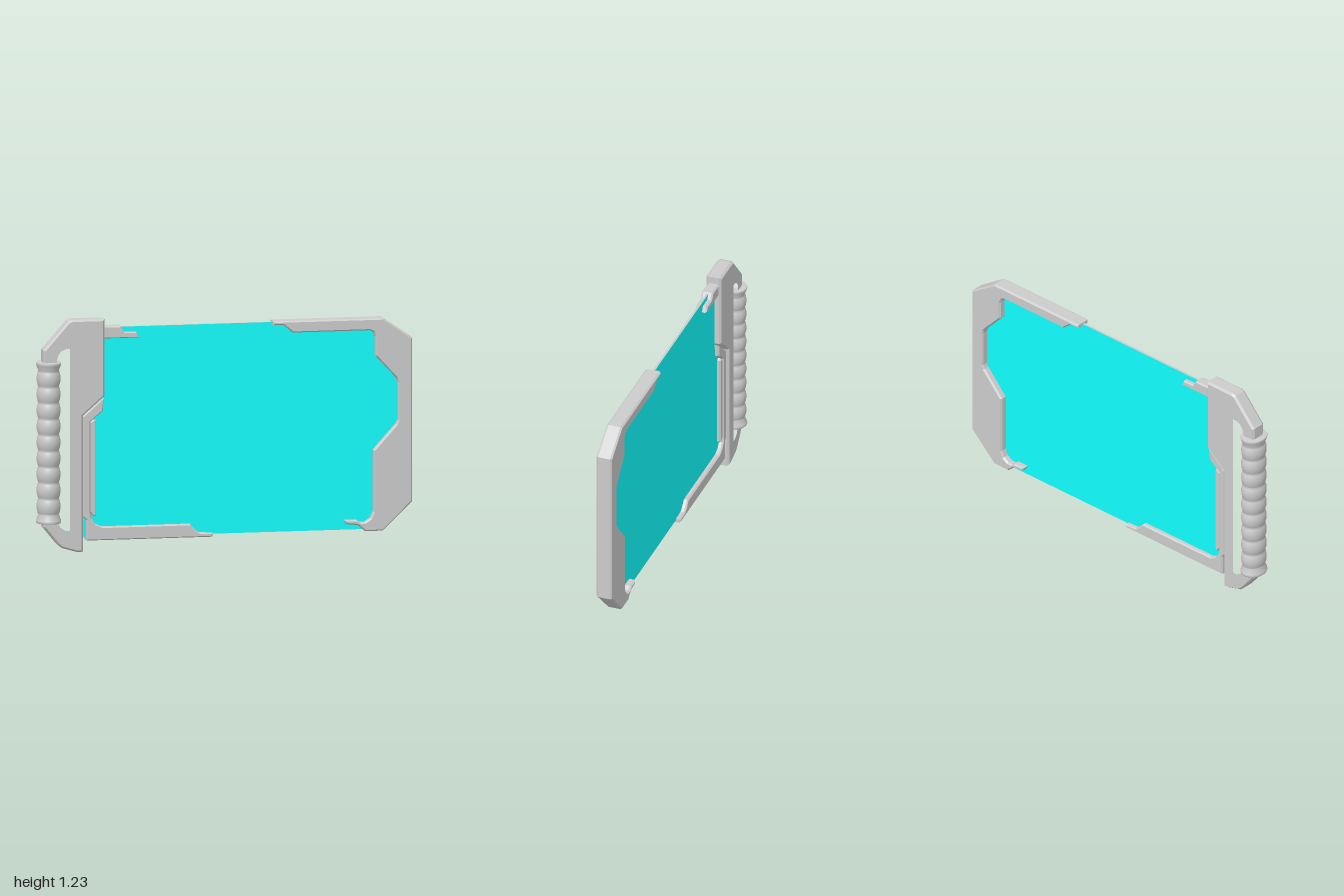
import * as THREE from 'three';

const grey = new THREE.MeshStandardMaterial({ color: 0xcccccc });
const cyan = new THREE.MeshStandardMaterial({ color: 0x12ffff });

// Bevelled plate cut from an outline, centred on z = 0; the outline is its true size
function plate(name, points, halfDepth, bevel = 0.007, hole = null, material = grey) {
  const shape = new THREE.Shape(points.map(([x, y]) => new THREE.Vector2(x, y)));
  if (hole) shape.holes.push(new THREE.Path(hole.map(([x, y]) => new THREE.Vector2(x, y))));
  const rise = bevel * 1.4;
  const geometry = new THREE.ExtrudeGeometry(shape, {
    depth: 2 * (halfDepth - rise),
    bevelEnabled: bevel > 0,
    bevelSize: bevel,
    bevelThickness: rise,
    bevelOffset: -bevel,
    bevelSegments: 1,
  });
  geometry.translate(0, 0, -(halfDepth - rise));
  const mesh = new THREE.Mesh(geometry, material);
  mesh.name = name;
  return mesh;
}

// Ribbed grip turned around the handle bar, slightly deeper than wide
function createGrip() {
  const y0 = 0.16, y1 = 1.01, start = 0.205, end = 0.965, bumps = 9, steps = 10;
  const profile = [[0.03, y0], [0.068, y0], [0.071, y0 + 0.006], [0.069, y0 + 0.016]];
  for (let i = 0; i <= bumps * steps; i++) {
    const t = i / steps;
    const r = 0.058 + 0.009 * Math.abs(Math.sin(Math.PI * t)) ** 0.8;
    profile.push([r, start + (end - start) * t / bumps]);
  }
  profile.push([0.069, y1 - 0.016], [0.071, y1 - 0.006], [0.068, y1], [0.03, y1]);
  const geometry = new THREE.LatheGeometry(profile.map(([r, y]) => new THREE.Vector2(r, y)), 40);
  const grip = new THREE.Mesh(geometry, grey);
  grip.name = 'grip';
  grip.scale.set(0.93, 1, 1.08);
  grip.position.x = -0.934;
  return grip;
}

export function createModel() {
  const model = new THREE.Group();
  model.name = 'handheldScreen';

  // Thin panel: coloured faces, grey rim
  model.add(plate('screen', [
    [-0.748, 0.075], [0.82, 0.075], [0.96, 0.23], [0.96, 1.07], [0.82, 1.185],
    [-0.66, 1.185], [-0.66, 0.8], [-0.748, 0.72],
  ], 0.006, 0, null, [cyan, grey]));

  // Large frame wrapping the far end of the screen
  model.add(plate('endFrame', [
    [0.255, 1.192], [0.255, 1.172], [0.31, 1.172], [0.36, 1.13], [0.77, 1.13],
    [0.79, 1.12], [0.8, 1.095], [0.8, 0.995], [0.915, 0.87], [0.92, 0.85],
    [0.92, 0.65], [0.912, 0.63], [0.79, 0.495], [0.79, 0.17], [0.775, 0.135],
    [0.745, 0.115], [0.72, 0.115], [0.7, 0.128], [0.635, 0.128], [0.645, 0.108],
    [0.705, 0.102], [0.745, 0.068], [0.84, 0.068], [0.996, 0.22],
    [0.996, 1.085], [0.84, 1.192],
  ], 0.043));

  // Handle body with the opening for the fingers
  model.add(plate('handleBody', [
    [-0.835, 1.225], [-0.815, 1.232], [-0.643, 1.232], [-0.643, 0.825],
    [-0.757, 0.725], [-0.757, 0.005], [-0.79, 0.005], [-0.87, 0.028],
    [-0.89, 0.045], [-0.967, 0.14], [-0.967, 1.075],
  ], 0.043, 0.009, [
    [-0.907, 1.02], [-0.9, 1.05], [-0.88, 1.078], [-0.85, 1.09], [-0.818, 1.09],
    [-0.818, 0.125], [-0.825, 0.11], [-0.855, 0.11], [-0.885, 0.13], [-0.907, 0.17],
  ]));
  model.add(createGrip());

  // Bracket joining the handle to the near lower corner of the screen
  model.add(plate('cornerBracket', [
    [-0.645, 0.815], [-0.757, 0.72], [-0.757, 0.19], [-0.737, 0.17],
    [-0.737, 0.062], [-0.065, 0.062], [-0.065, 0.082], [-0.135, 0.086],
    [-0.155, 0.1], [-0.185, 0.133], [-0.655, 0.133], [-0.69, 0.15],
    [-0.71, 0.18], [-0.715, 0.21], [-0.715, 0.69], [-0.65, 0.745],
  ], 0.031, 0.006));

  // Raised strip beside the bracket
  model.add(plate('sideStrip', [
    [-0.718, 0.21], [-0.695, 0.185], [-0.684, 0.195], [-0.684, 0.695],
    [-0.695, 0.705], [-0.718, 0.685],
  ], 0.025, 0.006));

  // Small clip on the near upper corner
  model.add(plate('cornerClip', [
    [-0.645, 1.192], [-0.645, 1.128], [-0.455, 1.128], [-0.47, 1.158],
    [-0.535, 1.16], [-0.555, 1.192],
  ], 0.031, 0.006));

  return model;
}
